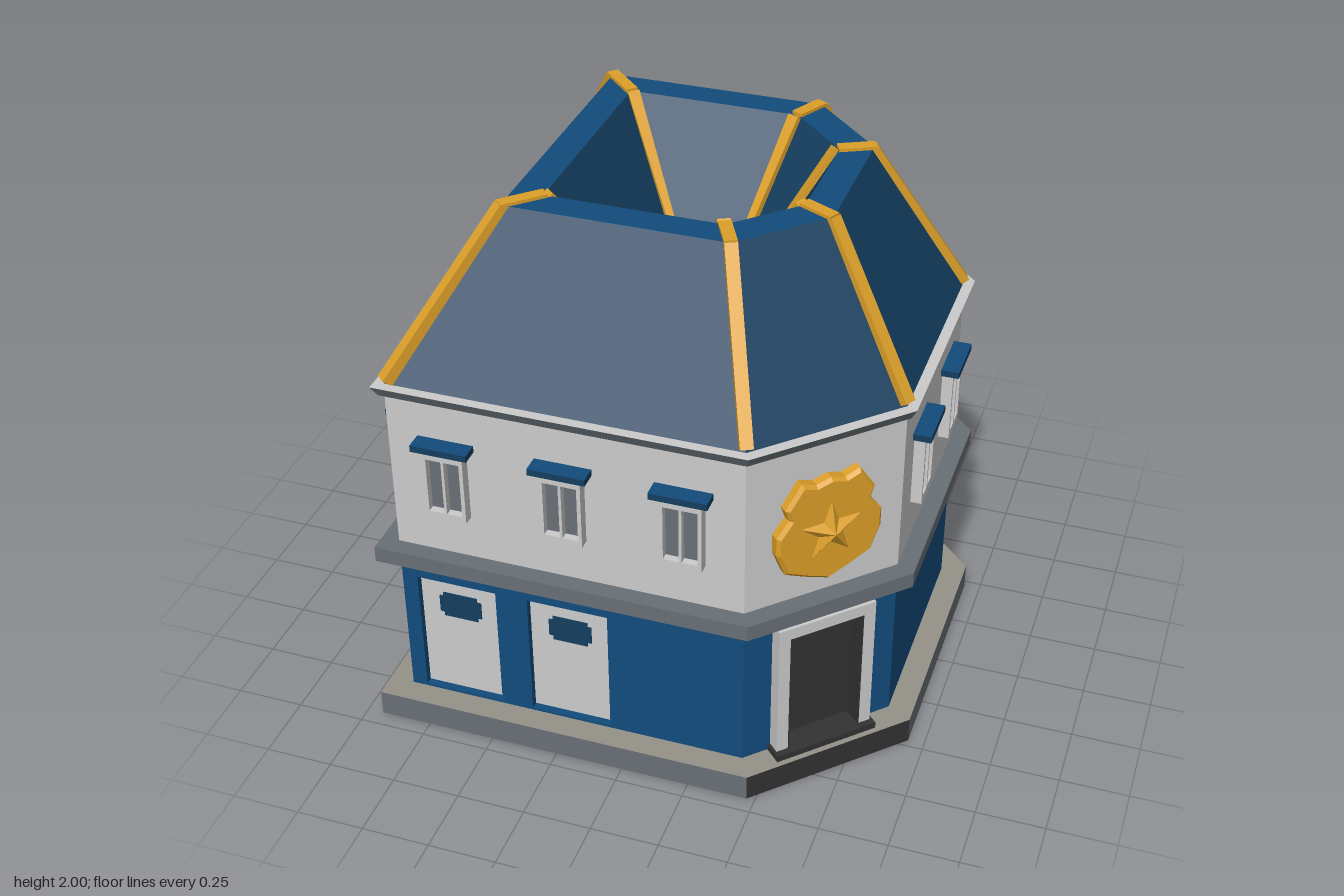
import * as THREE from 'three';

const mat = (name, color, side = THREE.FrontSide) => {
  const m = new THREE.MeshStandardMaterial({ color, side });
  m.name = name;
  return m;
};

export function createModel() {
  const light = mat('light plaster', 0xcccccc);
  const blue = mat('wall blue', 0x124c7d);
  const navy = mat('roof navy', 0x143f60);
  const slate = mat('slate grey', 0x687076);
  const stone = mat('warm stone', 0x96928a);
  const dark = mat('charcoal', 0x333333);
  const gold = mat('gold', 0xdda02a);

  const model = new THREE.Group();
  model.name = 'cornerBuilding';
  const add = (parent, name, geo, material, x = 0, y = 0, z = 0) => {
    const mesh = new THREE.Mesh(geo, material);
    mesh.name = name;
    mesh.position.set(x, y, z);
    parent.add(mesh);
    return mesh;
  };

  // Six-sided plan: a square with its two +x corners cut
  const plan = [[-1, -1], [0.5, -1], [1, -0.5], [1, 0.5], [0.5, 1], [-1, 1]];
  const corner = (i, r, y) => new THREE.Vector3(plan[i % 6][0] * r, y, plan[i % 6][1] * r);

  // Flat-faced band joining the plan at two sizes and heights
  function band(name, r0, y0, r1, y1, material, cutMaterial = material) {
    const pts = [];
    const geo = new THREE.BufferGeometry();
    for (let i = 0; i < 6; i++) {
      const a = corner(i, r0, y0), b = corner(i + 1, r0, y0);
      const c = corner(i + 1, r1, y1), d = corner(i, r1, y1);
      pts.push(b, a, d, b, d, c);
      geo.addGroup(i * 6, 6, i === 1 || i === 3 ? 1 : 0);
    }
    geo.setFromPoints(pts);
    geo.computeVertexNormals();
    add(model, name, geo, [material, cutMaterial]);
  }

  // Plinth, ledge, upper storey, cornice
  band('plinthBottom', 0, 0, 0.94, 0, dark);
  band('plinthSide', 0.94, 0, 0.94, 0.1, slate, dark);
  band('plinthTop', 0.94, 0.1, 0.8, 0.1, stone);
  band('ledgeBottom', 0.84, 0.7, 0.915, 0.7, dark);
  band('ledgeSide', 0.915, 0.7, 0.915, 0.76, slate);
  band('ledgeTop', 0.915, 0.76, 0.84, 0.76, slate);
  band('upperWalls', 0.85, 0.76, 0.85, 1.38, light);
  band('corniceBottom', 0.84, 1.38, 0.865, 1.38, slate);
  band('corniceSide', 0.865, 1.38, 0.885, 1.42, slate);
  band('corniceTop', 0.885, 1.42, 0.83, 1.42, light);

  // Roof with a sunken centre
  band('roofSlope', 0.848, 1.42, 0.53, 1.988, navy);
  band('roofRim', 0.53, 1.988, 0.42, 1.988, blue);
  band('roofWell', 0.42, 1.988, 0.09, 1.4, navy);
  band('roofWellFloor', 0.09, 1.4, 0, 1.4, navy);

  // Tapered bar between two points
  function bar(name, a, b, w0, w1, thick) {
    const dir = b.clone().sub(a);
    const len = dir.length();
    const geo = new THREE.BoxGeometry(1, thick, len);
    const p = geo.attributes.position;
    for (let i = 0; i < p.count; i++) p.setX(i, p.getX(i) * (p.getZ(i) < 0 ? w0 : w1));
    dir.normalize();
    const side = new THREE.Vector3(0, 1, 0).cross(dir).normalize();
    const up = dir.clone().cross(side);
    geo.applyMatrix4(new THREE.Matrix4().makeBasis(side, up, dir));
    geo.computeVertexNormals();
    const m = a.clone().add(b).multiplyScalar(0.5);
    add(model, name, geo, gold, m.x, m.y, m.z);
  }
  for (let i = 0; i < 6; i++) {
    bar('roofTrim', corner(i, 0.845, 1.43), corner(i, 0.525, 1.985), 0.045, 0.045, 0.04);
    bar('rimTrim', corner(i, 0.535, 1.985), corner(i, 0.415, 1.985), 0.045, 0.045, 0.03);
    bar('wellTrim', corner(i, 0.42, 1.98), corner(i, 0.09, 1.4), 0.045, 0.02, 0.06);
  }

  // Shape helpers
  const rectPts = (u, y, w, h) => [[u - w / 2, y], [u + w / 2, y], [u + w / 2, y + h], [u - w / 2, y + h]]
    .map(([a, b]) => new THREE.Vector2(a, b));
  function pierced(outer, holes, depth) {
    const shape = new THREE.Shape(rectPts(...outer));
    holes.forEach(h => shape.holes.push(new THREE.Path(rectPts(...h).reverse())));
    return new THREE.ExtrudeGeometry(shape, { depth, bevelEnabled: false });
  }

  // Window: frame, two panes, canopy
  function addWindow(face, u) {
    const g = new THREE.Group();
    g.name = 'window';
    g.position.set(u, 0, 0);
    face.add(g);
    const panes = [-0.033, 0.033].map(x => [x, 0.955, 0.056, 0.215]);
    add(g, 'windowFrame', pierced([0, 0.93, 0.15, 0.28], panes, 0.04), light);
    add(g, 'windowPanes', new THREE.PlaneGeometry(0.13, 0.225), slate, 0, 1.0625, 0.012);
    add(g, 'windowCanopy', new THREE.BoxGeometry(0.205, 0.025, 0.065),
      [navy, navy, blue, navy, navy, navy], 0, 1.222, 0.0325);
  }

  // Walls: openings are [centre, bottom, width, height, panel colour]
  const doors = s => [s * 0.43, s * 0.01];
  const vents = us => us.map(u => [u, 0.47, 0.3, 0.14, navy]);
  const walls = [
    { name: 'backWall', openings: vents(doors(1)), windows: [-0.425, 0, 0.425] },
    { name: 'backCutWall', openings: [[0, 0.105, 0.3, 0.505, navy]], windows: [0] },
    { name: 'leftWall', openings: [], windows: [-0.21, 0.21] },
    { name: 'entranceWall', openings: [[0, 0.105, 0.29, 0.52, dark]], windows: [] },
    { name: 'frontWall', openings: doors(-1).map(u => [u, 0.11, 0.3, 0.5, light]), windows: [-0.425, 0, 0.425] },
    { name: 'rightWall', openings: [[-0.24, 0.105, 0.21, 0.505, navy], ...vents([0.21, 0.63])],
      windows: [-0.635, -0.21, 0.21, 0.635] },
  ];
  const faces = walls.map((w, i) => {
    const a = corner(i, 0.85, 0), b = corner(i + 1, 0.85, 0);
    const face = new THREE.Group();
    face.name = w.name;
    face.position.copy(a).add(b).multiplyScalar(0.5);
    face.rotation.y = Math.atan2(b.z - a.z, -(b.x - a.x)) + Math.PI / 2;
    // outward direction is the edge turned a quarter
    face.rotation.y = Math.atan2(b.z - a.z, a.x - b.x);
    const nx = b.z - a.z, nz = a.x - b.x;
    face.rotation.y = Math.atan2(nx, nz);
    model.add(face);
    add(face, 'lowerWall', pierced([0, 0.1, a.distanceTo(b), 0.6], w.openings.map(o => o.slice(0, 4)), 0.03),
      blue, 0, 0, -0.03);
    for (const [u, y, wd, h, m] of w.openings)
      add(face, 'recessedPanel', new THREE.PlaneGeometry(wd + 0.01, h + 0.01), m, u, y + h / 2, -0.027);
    w.windows.forEach(u => addWindow(face, u));
    return face;
  });

  // Front door lights with notched corners
  const notched = new THREE.Shape([[-0.08, -0.035], [-0.065, -0.035], [-0.065, -0.052], [0.065, -0.052],
    [0.065, -0.035], [0.08, -0.035], [0.08, 0.035], [0.065, 0.035], [0.065, 0.052], [-0.065, 0.052],
    [-0.065, 0.035], [-0.08, 0.035]].map(p => new THREE.Vector2(...p)));
  for (const u of doors(-1))
    add(faces[4], 'doorLight', new THREE.ExtrudeGeometry(notched, { depth: 0.005, bevelEnabled: false }),
      navy, u, 0.492, -0.026);

  // Entrance: frame, dark lining, step
  const entrance = faces[3];
  add(entrance, 'entranceFrame', pierced([0, 0.1, 0.38, 0.57], [[0, 0.105, 0.29, 0.52]], 0.05), light);
  for (const s of [-1, 1])
    add(entrance, 'entranceLining', new THREE.BoxGeometry(0.008, 0.52, 0.075), dark, s * 0.142, 0.365, 0.011);
  add(entrance, 'entranceLiningTop', new THREE.BoxGeometry(0.29, 0.008, 0.075), dark, 0, 0.622, 0.011);
  add(entrance, 'entranceStep', new THREE.BoxGeometry(0.4, 0.025, 0.1), dark, 0, 0.1125, 0.025);

  // Shield badge above the entrance
  const half = [[0.055, 1.235], [0.11, 1.255], [0.17, 1.165], [0.155, 1.12], [0.2, 1.06],
    [0.2, 0.99], [0.165, 0.9], [0.09, 0.865]];
  const outline = [[0, 1.25], ...half, [0, 0.83], ...half.slice().reverse().map(([x, y]) => [-x, y])];
  const shield = new THREE.Shape(outline.map(([x, y]) => new THREE.Vector2(x, y)));
  add(entrance, 'shield', new THREE.ExtrudeGeometry(shield, {
    depth: 0.03, bevelThickness: 0.012, bevelSize: 0.012, bevelOffset: -0.012, bevelSegments: 1,
  }), gold);

  // Faceted star on the shield
  const starPts = [];
  const tip = k => {
    const r = k % 2 ? 0.048 : 0.12, t = Math.PI / 2 + k * Math.PI / 5;
    return new THREE.Vector3(r * Math.cos(t), r * Math.sin(t), 0);
  };
  for (let k = 0; k < 10; k++) starPts.push(new THREE.Vector3(0, 0, 0.035), tip(k), tip(k + 1));
  const star = new THREE.BufferGeometry().setFromPoints(starPts);
  star.computeVertexNormals();
  add(entrance, 'star', star, gold, 0, 1.04, 0.042);

  return model;
}
